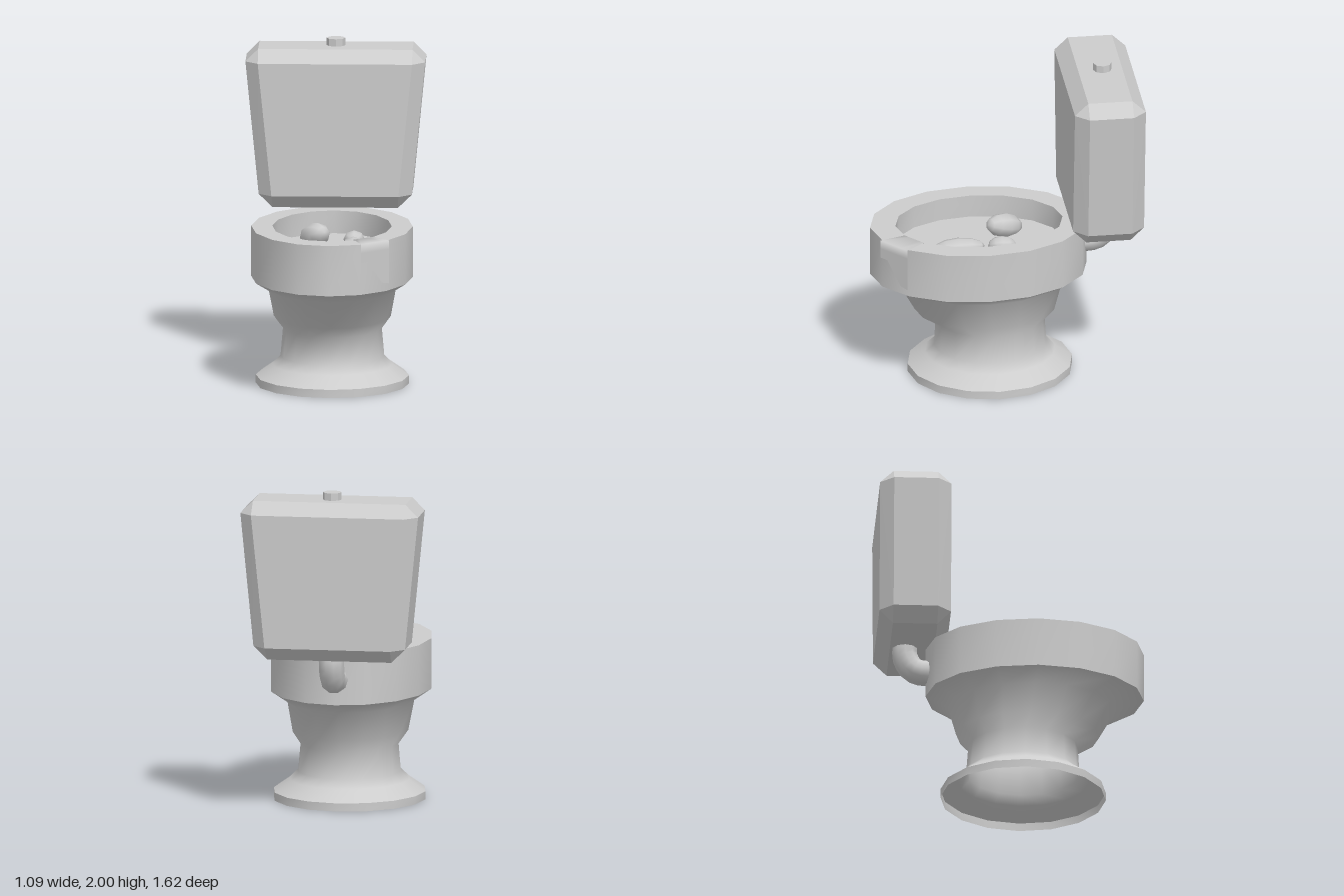
import * as THREE from 'three';
import { ConvexGeometry } from 'three/addons/geometries/ConvexGeometry.js';

const SIDES = 16;

// Grid of points (rows of equal length) joined into a smooth surface
function surface(rows, closed) {
  const n = rows[0].length, index = [];
  const cols = closed ? n : n - 1;
  for (let r = 0; r < rows.length - 1; r++) {
    for (let c = 0; c < cols; c++) {
      const a = r * n + c, b = r * n + (c + 1) % n;
      index.push(a, b, b + n, a, b + n, a + n);
    }
  }
  const geo = new THREE.BufferGeometry();
  geo.setAttribute('position', new THREE.Float32BufferAttribute(rows.flat(2), 3));
  geo.setIndex(index);
  geo.computeVertexNormals();
  return geo;
}

// Elliptical ring: height, half width, front z, back z
function ring([y, rx, front, back]) {
  const points = [];
  for (let i = 0; i < SIDES; i++) {
    const a = (i / SIDES) * Math.PI * 2;
    points.push([Math.sin(a) * rx, y, (front + back) / 2 + Math.cos(a) * (front - back) / 2]);
  }
  return points;
}
const loft = (sections) => surface(sections.map(ring), true);

export function createModel() {
  const group = new THREE.Group();
  const ceramic = new THREE.MeshStandardMaterial({ color: 0xcccccc });
  ceramic.name = 'grey ceramic';
  ceramic.side = THREE.DoubleSide;

  const add = (name, geo) => {
    const mesh = new THREE.Mesh(geo, ceramic);
    mesh.name = name;
    group.add(mesh);
    return mesh;
  };

  // Hollow foot and waisted pedestal
  add('footBand', loft([[0, 0.465, 0.58, -0.425], [0.05, 0.465, 0.58, -0.425]]));
  add('pedestal', loft([
    [0.05, 0.465, 0.58, -0.425],
    [0.12, 0.365, 0.475, -0.32],
    [0.17, 0.315, 0.42, -0.268],
    [0.34, 0.3, 0.41, -0.255],
    [0.42, 0.355, 0.54, -0.33],
    [0.6, 0.388, 0.64, -0.38],
    [0.67, 0.49, 0.81, -0.515],
  ]));

  // Bowl rim, inner wall and floor, with sharp edges between them
  const outerTop = [0.98, 0.49, 0.81, -0.515];
  const innerTop = [0.98, 0.362, 0.655, -0.367];
  const innerLow = [0.84, 0.362, 0.655, -0.367];
  add('rimOuterWall', loft([[0.67, 0.49, 0.81, -0.515], outerTop]));
  add('rimTop', loft([outerTop, innerTop]));
  add('rimInnerWall', loft([innerTop, innerLow]));
  add('bowlFloor', loft([innerLow, [0.84, 0, 0.144, 0.144]]));

  // Paper strip draped over one segment of the rim, with an uneven lower end
  const columns = [0, 0.25, 0.5, 0.75, 1];
  const drop = [0.87, 0.87, 0.8, 0.73, 0.72];
  const along = (a, b, heights) => columns.map((t, i) => [
    THREE.MathUtils.lerp(a[0], b[0], t), heights[i], THREE.MathUtils.lerp(a[1], b[1], t)]);
  const level = (y) => columns.map(() => y);
  const outA = [0.197, 0.772], outB = [0.36, 0.631];
  const inA = [0.146, 0.618], inB = [0.262, 0.518];
  add('paperStrip', surface([
    along(outA, outB, drop),
    along(outA, outB, level(0.93)),
    along(outA, outB, level(0.985)),
    along(inA, inB, level(0.985)),
    along(inA, inB, level(0.88)),
  ], false));

  // Lumps lying in the bowl: position, radii, turn, tilt
  [
    [[-0.11, 0.89, -0.025], [0.08, 0.075, 0.13], 0.55, -0.3],
    [[0.13, 0.875, 0.02], [0.065, 0.055, 0.085], 0, 0],
    [[0.135, 0.875, 0.285], [0.076, 0.06, 0.16], 0.06, 0],
  ].forEach(([position, radii, turn, tilt], i) => {
    const geo = new THREE.SphereGeometry(1, 8, 6);
    geo.rotateX(Math.PI / 2);
    const lump = add('lump' + (i + 1), geo);
    lump.position.set(...position);
    lump.scale.set(...radii);
    lump.rotation.set(tilt, turn, 0, 'YXZ');
  });

  // Bent pipe from the tank to the back of the bowl
  const pipePath = new THREE.CatmullRomCurve3([
    new THREE.Vector3(0, 1.0, -0.64),
    new THREE.Vector3(0, 0.93, -0.64),
    new THREE.Vector3(0, 0.85, -0.598),
    new THREE.Vector3(0, 0.825, -0.54),
    new THREE.Vector3(0, 0.825, -0.47),
  ]);
  add('pipe', new THREE.TubeGeometry(pipePath, 8, 0.078, 10));

  // Tapered tank with bevelled edges
  const corners = [];
  for (const sx of [-1, 1]) {
    for (const sz of [-1, 1]) {
      const corner = (x, y, dz) => corners.push(new THREE.Vector3(sx * x, y, -0.597 + sz * dz));
      corner(0.468, 1.955, 0.135);
      corner(0.545, 1.878, 0.135);
      corner(0.468, 1.878, 0.217);
      corner(0.465, 1.062, 0.135);
      corner(0.385, 1.062, 0.217);
      corner(0.38, 0.98, 0.135);
    }
  }
  add('tank', new ConvexGeometry(corners));

  // Flush button
  const buttonGeo = new THREE.CylinderGeometry(0.057, 0.057, 0.06, 8).toNonIndexed();
  buttonGeo.computeVertexNormals();
  add('flushButton', buttonGeo).position.set(0, 1.97, -0.61);

  return group;
}
